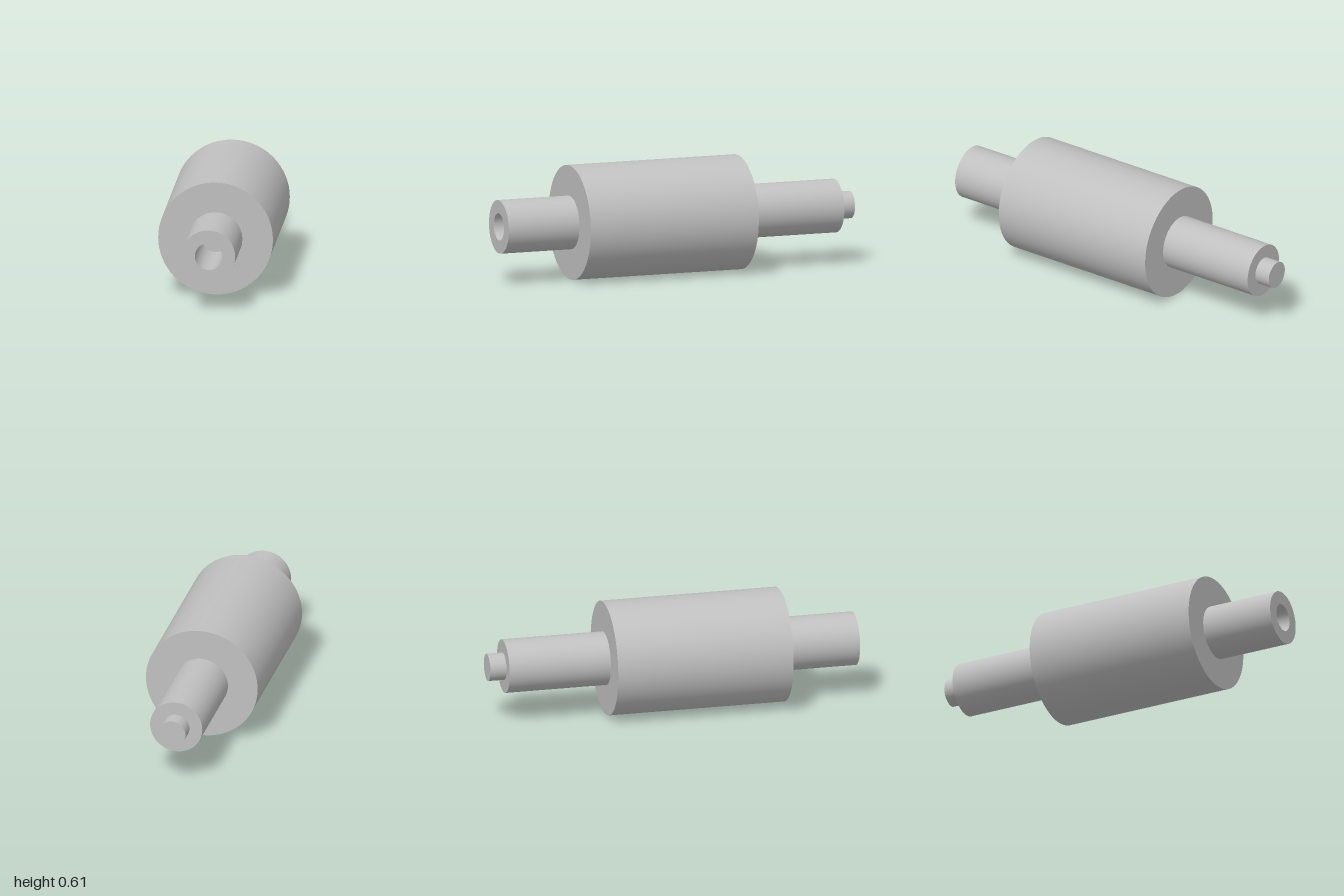
import * as THREE from 'three';
import { mergeGeometries } from 'three/addons/utils/BufferGeometryUtils.js';

const BODY_R = 0.305, SHAFT_R = 0.1425, PIN_R = 0.0725;
const SEGMENTS = 96;

// Turns a [radius, z] profile about the z axis, keeping every corner sharp.
function turned(profile) {
  const bands = [];
  for (let i = 0; i + 1 < profile.length; i++) {
    const pair = [profile[i], profile[i + 1]].map(([r, z]) => new THREE.Vector2(r, z));
    bands.push(new THREE.LatheGeometry(pair, SEGMENTS));
  }
  return mergeGeometries(bands).rotateX(Math.PI / 2);
}

export function createModel() {
  const steel = new THREE.MeshStandardMaterial({ color: 0xc0c0c0 });
  steel.name = 'grey steel';

  const roller = new THREE.Group();
  roller.name = 'roller';
  roller.position.y = BODY_R;

  const parts = {
    // Pin on the back end
    endPin: [[0, -1], [PIN_R, -1], [PIN_R, -0.912]],
    // Back shaft with its shoulder around the pin
    backShaft: [[PIN_R, -0.912], [SHAFT_R, -0.912], [SHAFT_R, -0.36]],
    // Large drum
    drum: [[SHAFT_R, -0.36], [BODY_R, -0.36], [BODY_R, 0.597], [SHAFT_R, 0.597]],
    // Front shaft with a blind bore
    frontShaft: [[SHAFT_R, 0.597], [SHAFT_R, 1], [PIN_R, 1], [PIN_R, 0.6], [0, 0.6]],
  };

  for (const [name, profile] of Object.entries(parts)) {
    const mesh = new THREE.Mesh(turned(profile), steel);
    mesh.name = name;
    roller.add(mesh);
  }

  const model = new THREE.Group();
  model.name = 'steppedRoller';
  model.add(roller);
  return model;
}
